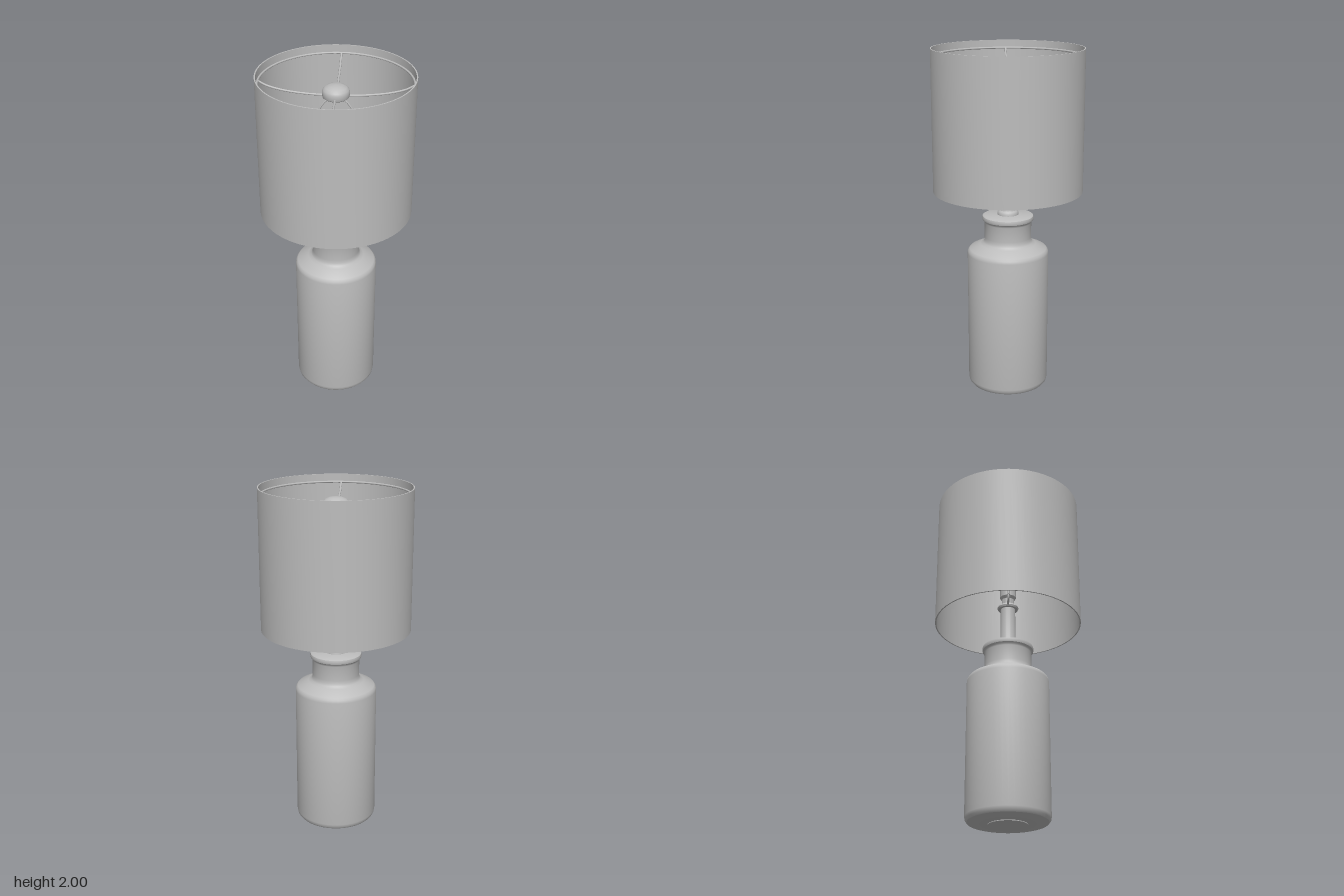
import * as THREE from 'three';
import { toCreasedNormals } from 'three/addons/utils/BufferGeometryUtils.js';

export function createModel() {
  const model = new THREE.Group();
  model.name = 'tableLamp';
  const grey = new THREE.MeshStandardMaterial({ color: 0xbcbcbc });
  grey.name = 'plain grey';

  const add = (name, geometry, parent = model) => {
    const mesh = new THREE.Mesh(geometry, grey);
    mesh.name = name;
    parent.add(mesh);
    return mesh;
  };
  const lathe = (name, profile, segments = 48) => {
    const points = profile.map(([r, y]) => new THREE.Vector2(r, y));
    return add(name, toCreasedNormals(new THREE.LatheGeometry(points, segments), 0.6));
  };
  const wire = (name, points, radius, parent) => {
    const curve = new THREE.CatmullRomCurve3(points.map((p) => new THREE.Vector3(...p)));
    return add(name, new THREE.TubeGeometry(curve, 32, radius, 8), parent);
  };

  // Bottle-shaped base with rounded foot, sloping shoulder, neck and lip
  lathe('base', [
    [0, 0.004], [0.12, 0.004], [0.205, 0.01], [0.222, 0.015], [0.232, 0.028], [0.235, 0.045],
    [0.235, 0.822], [0.232, 0.838], [0.222, 0.85], [0.16, 0.878], [0.143, 0.888],
    [0.136, 0.902], [0.135, 0.92], [0.135, 1.005], [0.138, 1.015], [0.146, 1.022],
    [0.149, 1.034], [0.146, 1.045], [0.135, 1.051], [0, 1.053],
  ]);
  lathe('footPad', [[0, 0], [0.11, 0], [0.11, 0.006], [0, 0.006]]);

  // Stem with a collar, then the socket
  lathe('stem', [
    [0.06, 1.05], [0.06, 1.064], [0.055, 1.072], [0.047, 1.078], [0.043, 1.09],
    [0.043, 1.3], [0, 1.3],
  ], 32);
  lathe('saddle', [[0, 1.295], [0.058, 1.295], [0.062, 1.305], [0.058, 1.315], [0, 1.315]], 32);
  lathe('socket', [
    [0.036, 1.31], [0.036, 1.36], [0.047, 1.375], [0.047, 1.44], [0.04, 1.445],
    [0.04, 1.47], [0.03, 1.47], [0.03, 1.39], [0, 1.39],
  ], 32);

  // Harp: a wire loop from the saddle up to the finial
  for (const s of [-1, 1]) {
    wire('harpBracket', [[s * 0.05, 1.305, 0], [s * 0.085, 1.305, 0], [s * 0.108, 1.318, 0], [s * 0.112, 1.36, 0]], 0.006);
    const ferrule = add('harpFerrule', new THREE.CylinderGeometry(0.009, 0.009, 0.04, 12));
    ferrule.position.set(s * 0.112, 1.36, 0);
  }
  wire('harp', [
    [-0.112, 1.36, 0], [-0.13, 1.48, 0], [-0.135, 1.62, 0], [-0.105, 1.77, 0], [-0.045, 1.86, 0],
    [0, 1.875, 0],
    [0.045, 1.86, 0], [0.105, 1.77, 0], [0.135, 1.62, 0], [0.13, 1.48, 0], [0.112, 1.36, 0],
  ], 0.005);

  // Drum shade as a thin wall
  lathe('shade', [
    [0.42, 1.195], [0.427, 1.195], [0.427, 2], [0.42, 2], [0.42, 1.195],
  ], 64);

  // Fitter ring and the four spider arms
  const ring = add('fitterRing', new THREE.TorusGeometry(0.414, 0.006, 8, 64));
  ring.rotation.x = Math.PI / 2;
  ring.position.y = 1.955;
  for (let i = 0; i < 4; i++) {
    const arm = new THREE.Group();
    arm.name = 'spiderArm';
    arm.rotation.y = i * Math.PI / 2;
    wire('armWire', [[0.03, 1.885, 0], [0.14, 1.888, 0], [0.28, 1.905, 0], [0.37, 1.93, 0], [0.414, 1.955, 0]], 0.006, arm);
    model.add(arm);
  }

  // Domed finial
  lathe('finial', [
    [0, 1.868], [0.06, 1.87], [0.071, 1.878], [0.074, 1.89], [0.074, 1.908], [0.07, 1.92],
    [0.058, 1.932], [0.035, 1.941], [0, 1.945],
  ], 32);

  return model;
}
